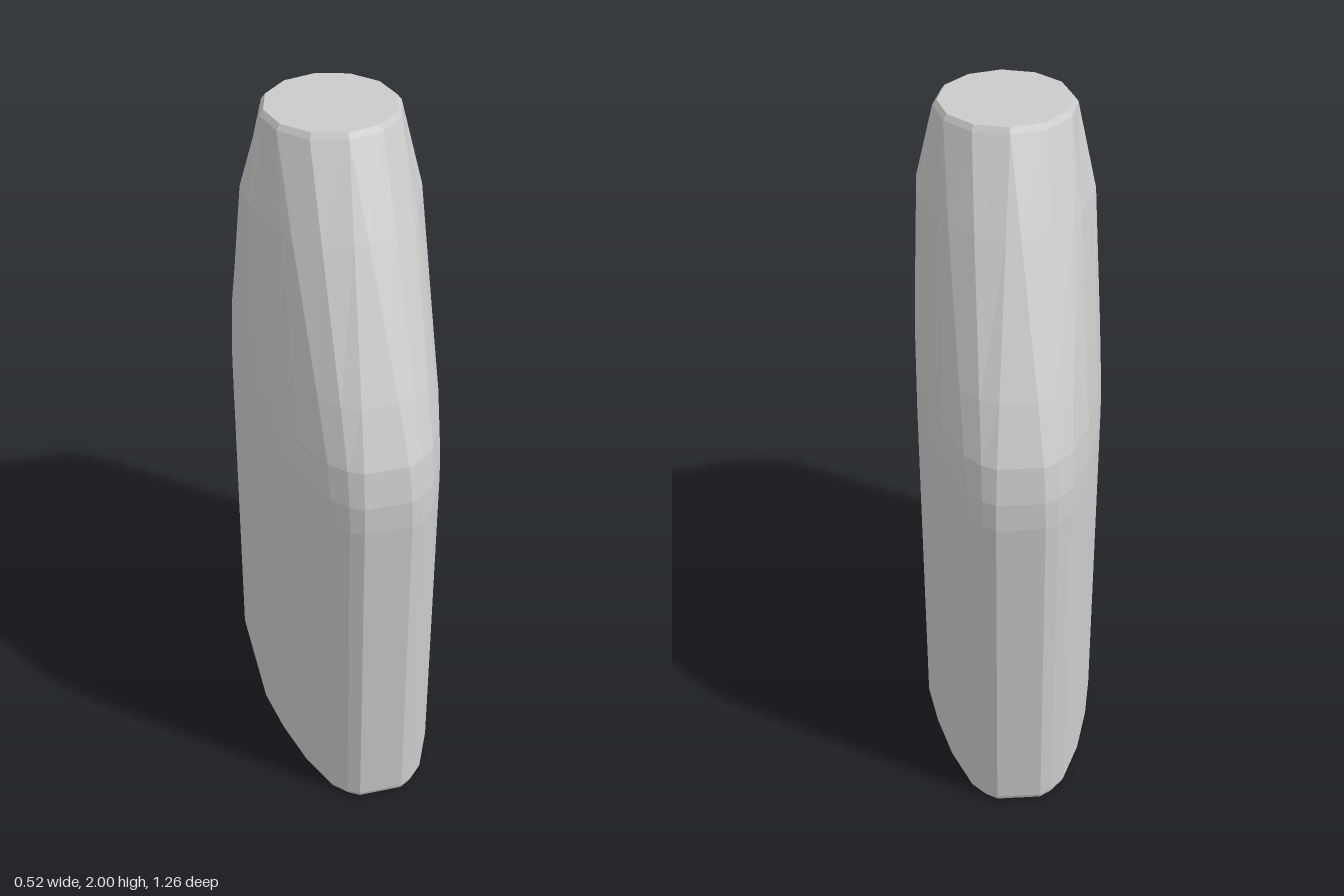
import * as THREE from 'three';

// One quarter of the body outline, from the narrow end to the broad side:
// x, z, and the angle of the matching corner on the twelve-sided top.
const QUARTER = [
  [0.065, 0.63, 0], [0.1, 0.61, 30], [0.14, 0.57, 60],
  [0.195, 0.45, 60], [0.235, 0.31, 90], [0.26, 0.175, 90],
];
const TOP_RADIUS = 0.19;

// Levels: height, blend from body outline to round top, extra side fullness, scale in x and z
const LEVELS = [
  [0, 0, 0, 0.95, 0.98],
  [0.006, 0, 0, 0.98, 0.993],
  [0.02, 0, 0, 1, 1],
  [1.07, 0, 0, 1, 1],
  [1.15, 0.015, 0.001, 1, 1],
  [1.25, 0.07, 0.002, 1, 1],
  [1.4, 0.24, 0.009, 1, 1],
  [1.76, 0.7, 0.027, 1, 1],
  [1.985, 1, 0, 1, 1],
  [2, 1, 0, 0.94, 0.94],
];

// Closed ring of points, counter-clockwise seen from above
function ring([y, t, fullness, sx, sz]) {
  const quarter = QUARTER.map(([x, z, deg], i) => {
    const a = THREE.MathUtils.degToRad(deg);
    const bulge = fullness * (i / (QUARTER.length - 1)) ** 2;
    return [
      (THREE.MathUtils.lerp(x, TOP_RADIUS * Math.sin(a), t) + bulge) * sx,
      THREE.MathUtils.lerp(z, TOP_RADIUS * Math.cos(a), t) * sz,
    ];
  });
  const back = [...quarter].reverse();
  return [
    ...quarter.map(([x, z]) => [x, y, z]),
    ...back.map(([x, z]) => [x, y, -z]),
    ...quarter.map(([x, z]) => [-x, y, -z]),
    ...back.map(([x, z]) => [-x, y, z]),
  ];
}

// Skin the rings and close both ends
function loft(rings) {
  const n = rings[0].length;
  const positions = rings.flat();
  const index = [];
  for (let j = 0; j < rings.length - 1; j++) {
    for (let i = 0; i < n; i++) {
      const a = j * n + i, b = j * n + (i + 1) % n;
      index.push(a, b, b + n, a, b + n, a + n);
    }
  }
  const bottom = positions.length, top = bottom + 1, last = (rings.length - 1) * n;
  positions.push([0, rings[0][0][1], 0], [0, rings[rings.length - 1][0][1], 0]);
  for (let i = 0; i < n; i++) {
    const k = (i + 1) % n;
    index.push(bottom, k, i, top, last + i, last + k);
  }
  const geometry = new THREE.BufferGeometry();
  geometry.setAttribute('position', new THREE.Float32BufferAttribute(positions.flat(), 3));
  geometry.setIndex(index);
  geometry.computeVertexNormals();
  return geometry;
}

export function createModel() {
  const group = new THREE.Group();
  group.name = 'taperedBlock';

  // Flattened body tapering to a round, bevelled top
  const material = new THREE.MeshStandardMaterial({ color: 0xcccccc, flatShading: true });
  const body = new THREE.Mesh(loft(LEVELS.map(ring)), material);
  body.name = 'body';
  group.add(body);
  return group;
}
